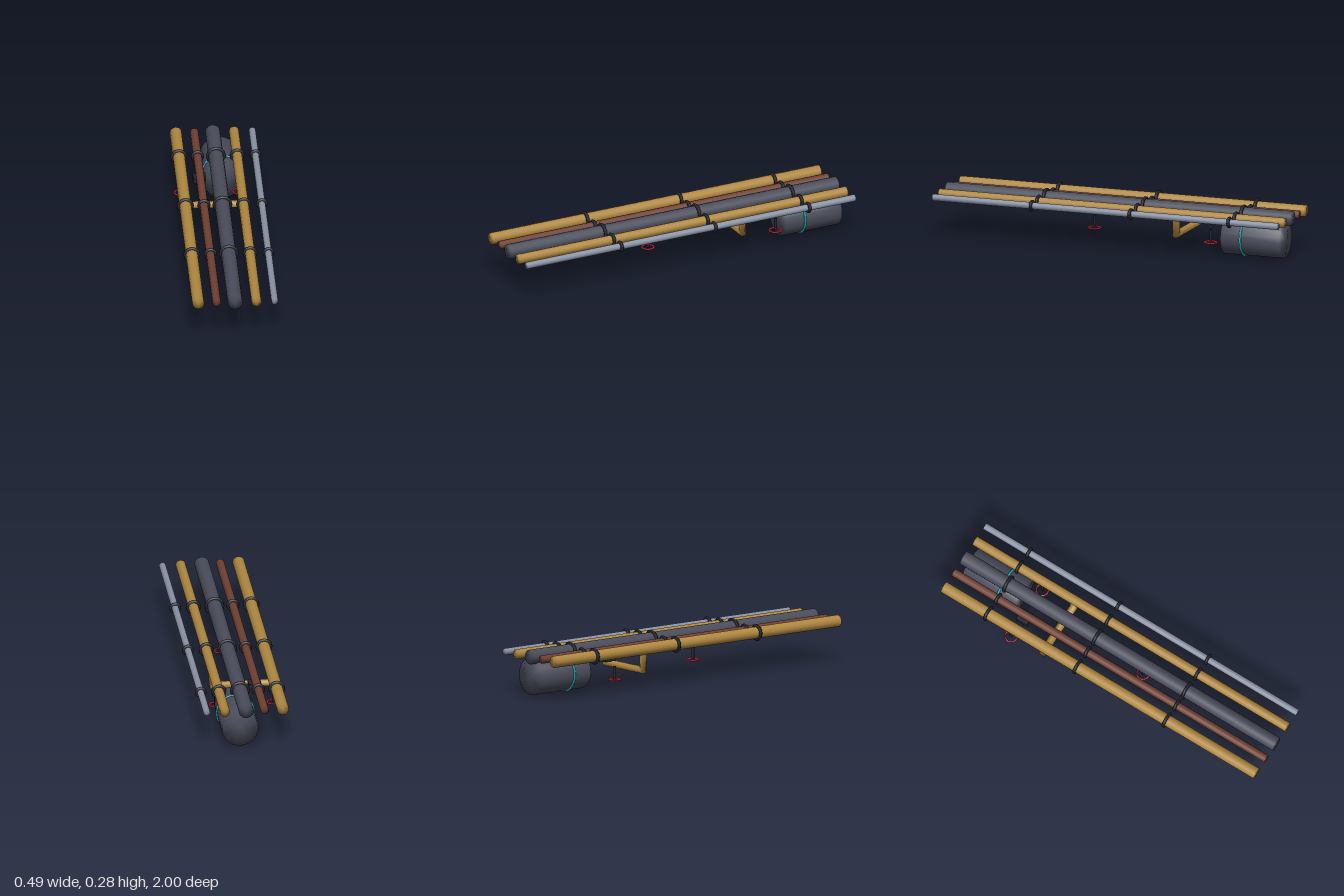
import * as THREE from 'three';
import { mergeVertices } from 'three/addons/utils/BufferGeometryUtils.js';

const mat = (name, color, side = THREE.FrontSide) =>
  new THREE.MeshStandardMaterial({ name, color, side });

export function createModel() {
  const brass = mat('brass', 0xb08840, THREE.DoubleSide);
  const copper = mat('copper', 0x704032);
  const iron = mat('dark iron', 0x4a4d5b);
  const steel = mat('steel', 0x8a93a5);
  const black = mat('black', 0x22232d);
  const red = mat('red', 0xc4283a);
  const teal = mat('teal', 0x1fc0c8);

  const model = new THREE.Group();
  model.name = 'pipeBundle';

  const add = (name, geometry, material, x, y, z, parent = model) => {
    const mesh = new THREE.Mesh(geometry, material);
    mesh.name = name;
    mesh.position.set(x, y, z);
    parent.add(mesh);
    return mesh;
  };

  // Cylinder along z whose shading runs softly over the end rims
  const softCylinder = (radius, length, sides) => {
    const g = new THREE.CylinderGeometry(radius, radius, length, sides).rotateX(Math.PI / 2);
    g.deleteAttribute('uv');
    g.deleteAttribute('normal');
    const merged = mergeVertices(g);
    merged.computeVertexNormals();
    return merged;
  };

  // Parallel pipes, each with three clamp rings
  const pipeY = 0.223;
  const pipes = [
    ['wideBrassPipe', -0.2, 0.033, brass],
    ['copperPipe', -0.1, 0.023, copper],
    ['mainIronPipe', 0, 0.041, iron],
    ['narrowBrassPipe', 0.115, 0.0275, brass],
    ['steelPipe', 0.214, 0.019, steel],
  ];
  for (const [name, x, radius, material] of pipes) {
    add(name, softCylinder(radius, 2, 12), material, x, pipeY, 0);
    for (const z of [0.427, -0.145, -0.717]) {
      add('clampRing', new THREE.TorusGeometry(radius + 0.0045, 0.009, 6, 12), black, x, pipeY, z);
    }
  }

  // Tank slung under the rear, with a glowing band
  add('tank', softCylinder(0.1, 0.34, 20), iron, 0.029, 0.108, -0.8);
  add('tankBand', new THREE.TorusGeometry(0.102, 0.006, 6, 20), teal, 0.029, 0.108, -0.745);

  // U-shaped crossover: four rings, mitred at the two lower corners
  const rings = [
    { x: 0.115, y: pipeY, ux: 1, uy: 0 },
    { x: 0.115, y: 0.108, ux: 0.44, uy: -0.9 },
    { x: -0.2, y: 0.108, ux: -0.44, uy: -0.9 },
    { x: -0.2, y: pipeY, ux: -1, uy: 0 },
  ];
  const bend = new THREE.CylinderGeometry(0.022, 0.022, 1, 10, 3, true);
  const pos = bend.attributes.position;
  for (let i = 0; i < pos.count; i++) {
    const r = rings[Math.round((0.5 - pos.getY(i)) * 3)];
    const u = pos.getX(i);
    pos.setXYZ(i, r.x + r.ux * u, r.y + r.uy * u, pos.getZ(i));
  }
  bend.deleteAttribute('uv');
  bend.deleteAttribute('normal');
  const bendSmooth = mergeVertices(bend);
  bendSmooth.computeVertexNormals();
  add('crossoverPipe', bendSmooth, brass, 0, 0, -0.37);

  // Valves: stem with a hand wheel below
  for (const [x, z] of [[-0.2, -0.57], [0.115, -0.57], [0, 0.147]]) {
    const valve = new THREE.Group();
    valve.name = 'valve';
    valve.position.set(x, 0, z);
    add('valveStem', new THREE.CylinderGeometry(0.008, 0.008, 0.07, 8), black, 0, 0.117, 0, valve);
    add('handWheel', new THREE.TorusGeometry(0.033, 0.0055, 6, 16).rotateX(Math.PI / 2), red, 0, 0.081, 0, valve);
    model.add(valve);
  }

  // Sensor box under the copper pipe
  add('sensorBox', new THREE.BoxGeometry(0.07, 0.027, 0.07), black, -0.1, 0.1795, -0.546);
  add('sensorLight', new THREE.BoxGeometry(0.044, 0.006, 0.044), teal, -0.1, 0.164, -0.546);

  return model;
}
